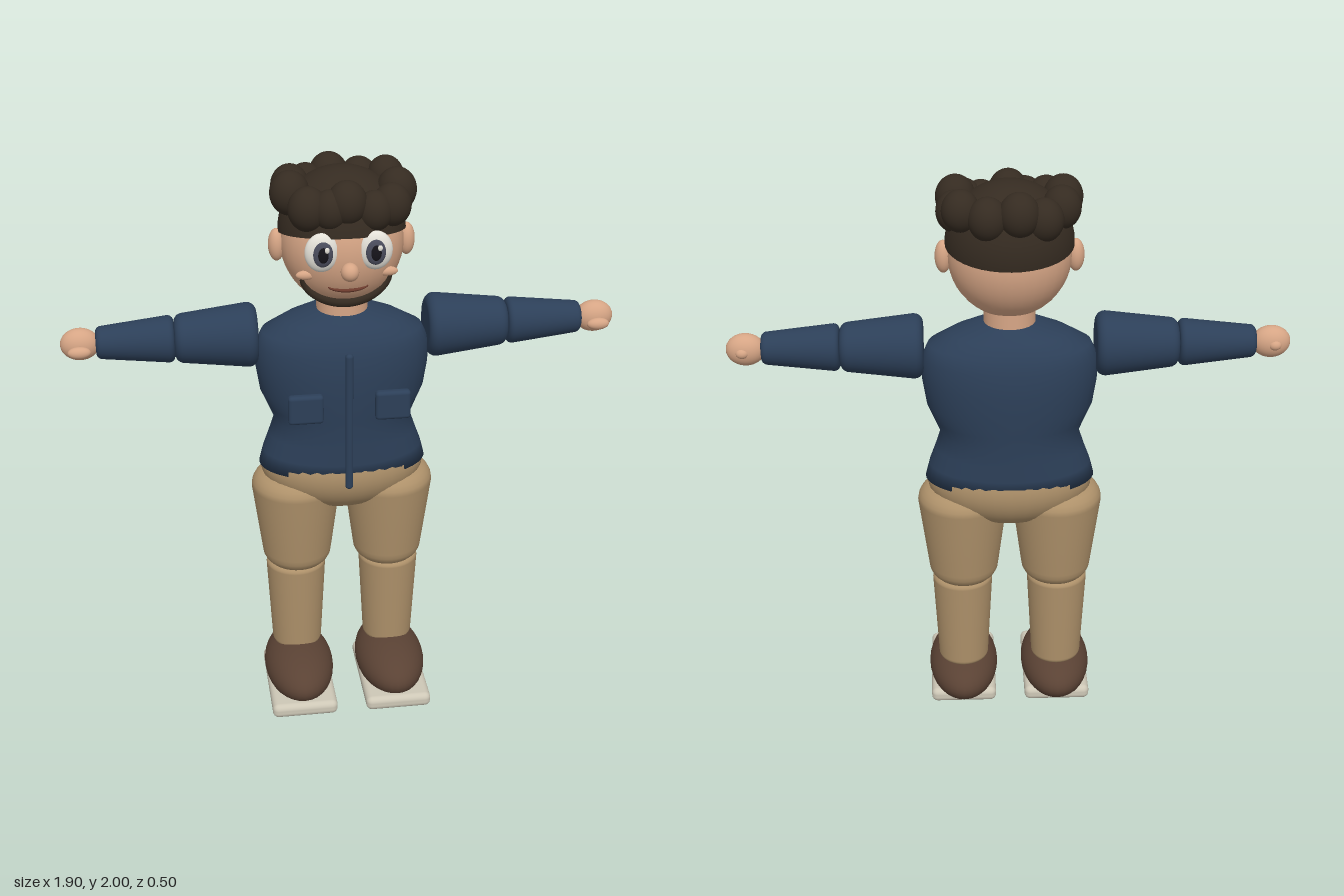
import * as THREE from 'three';
import { mergeVertices } from 'three/addons/utils/BufferGeometryUtils.js';
import { RoundedBoxGeometry } from 'three/addons/geometries/RoundedBoxGeometry.js';

const mat = (name, color, side = THREE.FrontSide) => {
  const m = new THREE.MeshStandardMaterial({ color, side });
  m.name = name;
  return m;
};

export function createModel() {
  const model = new THREE.Group();
  model.name = 'figure';
  const skin = mat('skin', 0xd6a585), blue = mat('jacket blue', 0x2c3f58), tan = mat('trouser tan', 0xae916a);
  const hair = mat('hair brown', 0x352b21, THREE.DoubleSide), brown = mat('shoe brown', 0x5a4234);
  const cream = mat('sole cream', 0xcdc7b6), white = mat('eye white', 0xe4e1d8);
  const grey = mat('iris grey', 0x4a4c5c), black = mat('pupil black', 0x16141a), lip = mat('mouth brown', 0x6b3a2c);
  const Z = -0.045; // depth of the body axis

  const add = (name, geo, m, x = 0, y = 0, z = 0, parent = model) => {
    const mesh = new THREE.Mesh(geo, m);
    mesh.name = name;
    mesh.position.set(x, y, z);
    parent.add(mesh);
    return mesh;
  };
  const blob = (name, m, [x, y, z], [rx, ry, rz], parent = model) =>
    add(name, new THREE.SphereGeometry(1, 32, 24).scale(rx, ry, rz), m, x, y, z, parent);
  const lathe = (pts) => new THREE.LatheGeometry(pts.map(([r, y]) => new THREE.Vector2(r, y)), 40);

  // Rounded limb running up from 0 to len
  const limb = (r0, r1, len, bevel = 0.03) => {
    const pts = [[0, 0]];
    const corner = (r, y, from) => {
      for (let i = 0; i <= 5; i++) {
        const a = from + (i / 5) * Math.PI / 2;
        pts.push([r - bevel + Math.cos(a) * bevel, y + Math.sin(a) * bevel]);
      }
    };
    corner(r0, bevel, -Math.PI / 2);
    corner(r1, len - bevel, 0);
    pts.push([0, len]);
    return lathe(pts);
  };

  // Jacket body lofted from oval sections: height, half width, half depth
  const rings = [[0.925, 0.001, 0.001], [0.925, 0.294, 0.178], [0.98, 0.28, 0.178], [1.04, 0.258, 0.177],
    [1.1, 0.238, 0.177], [1.15, 0.258, 0.18], [1.21, 0.284, 0.184], [1.3, 0.298, 0.186], [1.38, 0.298, 0.178],
    [1.43, 0.275, 0.16], [1.47, 0.2, 0.135], [1.505, 0.1, 0.095], [1.51, 0.001, 0.001]];
  let jacket = lathe(rings.map(([y]) => [1, y]));
  const jp = jacket.attributes.position;
  for (let i = 0; i < jp.count; i++) {
    const [y, rx, rz] = rings[i % rings.length];
    jp.setXYZ(i, jp.getX(i) * rx, y, jp.getZ(i) * rz);
  }
  jacket.deleteAttribute('uv');
  jacket.deleteAttribute('normal');
  jacket = mergeVertices(jacket, 1e-5);
  jacket.computeVertexNormals();
  add('jacket', jacket, blue, 0, 0, Z);
  add('zip', new RoundedBoxGeometry(0.026, 0.51, 0.026, 3, 0.011), blue, 0, 1.155, 0.145);
  blob('hips', tan, [0, 0.92, Z], [0.288, 0.17, 0.182]);
  add('neck', new THREE.CylinderGeometry(0.086, 0.088, 0.12, 32), skin, 0, 1.51, -0.04);

  for (const s of [1, -1]) {
    const side = s > 0 ? 'left' : 'right';
    const name = (part) => side + part;

    // Pocket
    add(name('Pocket'), new RoundedBoxGeometry(0.12, 0.105, 0.034, 3, 0.013), blue, s * 0.148, 1.218, 0.15);

    // Leg and shoe
    const thigh = limb(0.124, 0.158, 0.38, 0.06);
    add(name('Thigh'), thigh, tan, s * 0.165, 0.51, Z);
    add(name('Shin'), limb(0.09, 0.107, 0.36, 0.02), tan, s * 0.17, 0.165, Z);
    blob(name('Shoe'), brown, [s * 0.171, 0.096, 0.015], [0.126, 0.096, 0.222]);
    add(name('Sole'), new RoundedBoxGeometry(0.238, 0.054, 0.395, 4, 0.022), cream, s * 0.172, 0.038, 0.053);

    // Arm, built pointing out sideways
    const upper = add(name('UpperArm'), limb(0.11, 0.085, 0.28, 0.032), blue, s * 0.29, 1.418, Z);
    const fore = add(name('Forearm'), limb(0.08, 0.056, 0.262, 0.02), blue, s * 0.57, 1.418, Z);
    upper.rotation.z = fore.rotation.z = -s * Math.PI / 2;
    blob(name('Hand'), skin, [s * 0.885, 1.416, -0.047], [0.066, 0.056, 0.045]);
    blob(name('Thumb'), skin, [s * 0.887, 1.407, 0.006], [0.039, 0.021, 0.02]);
    blob(name('Knuckle'), skin, [s * 0.893, 1.416, -0.082], [0.022, 0.018, 0.018]);
  }

  // Head
  const head = new THREE.Group();
  head.name = 'head';
  model.add(head);
  const C = [0, 1.745, -0.04], R = [0.206, 0.215, 0.183];
  const faceZ = (x, y) => C[2] + R[2] * Math.sqrt(Math.max(0, 1 - (x / R[0]) ** 2 - ((y - C[1]) / R[1]) ** 2));
  blob('skull', skin, C, R, head);
  blob('nose', skin, [0, 1.705, 0.154], [0.03, 0.031, 0.031], head);
  for (const s of [1, -1]) {
    const side = s > 0 ? 'left' : 'right';
    blob(side + 'Ear', skin, [s * 0.218, 1.737, Z], [0.028, 0.056, 0.031], head);
    blob(side + 'EyeWhite', white, [s * 0.088, 1.766, 0.125], [0.056, 0.066, 0.027], head);
    blob(side + 'Iris', grey, [s * 0.086, 1.766, 0.145], [0.033, 0.043, 0.012], head);
    blob(side + 'Pupil', black, [s * 0.086, 1.766, 0.153], [0.018, 0.027, 0.007], head);
    blob(side + 'EyeGlint', white, [s * 0.086 + 0.012, 1.784, 0.158], [0.008, 0.01, 0.004], head);
    blob(side + 'Cheek', skin, [s * 0.135, 1.675, faceZ(0.135, 1.675)], [0.034, 0.016, 0.014], head);
  }

  // Tapering curved strips that follow the face
  const strip = (name, m, halfWidth, yEnd, yMid, radius) => {
    const pts = [];
    for (let i = 0; i <= 16; i++) {
      const a = Math.PI * i / 16, x = -halfWidth * Math.cos(a), y = yEnd + (yMid - yEnd) * Math.sin(a);
      pts.push(new THREE.Vector3(x, y, faceZ(x, y) + 0.004));
    }
    const curve = new THREE.CatmullRomCurve3(pts), n = 48, geo = new THREE.TubeGeometry(curve, n, radius, 10);
    const p = geo.attributes.position, v = new THREE.Vector3();
    for (let i = 0; i < p.count; i++) {
      const t = Math.floor(i / 11) / n, mid = curve.getPointAt(t);
      v.fromBufferAttribute(p, i).sub(mid).multiplyScalar(0.15 + 0.85 * Math.sin(Math.PI * t) ** 0.6).add(mid);
      p.setXYZ(i, v.x, v.y, v.z);
    }
    geo.computeVertexNormals();
    add(name, geo, m, 0, 0, 0, head);
  };
  strip('beard', hair, 0.148, 1.665, 1.567, 0.019);
  strip('mouth', lip, 0.066, 1.642, 1.626, 0.006);

  // Hair cap, lower at the back, with a ring of curls
  const cap = new THREE.SphereGeometry(1, 40, 20, 0, Math.PI * 2, 0, Math.PI / 2).scale(0.213, 0.212, 0.192);
  add('hairCap', cap, hair, 0, 1.783, Z, head).rotation.x = -0.17;
  const curls = [[0, 1.915, 0.085, 0.066], [0.09, 1.885, 0.085, 0.06], [0.15, 1.895, 0.06, 0.064], [0.175, 1.925, 0.0, 0.066],
    [0.178, 1.9, -0.07, 0.062], [0.16, 1.925, -0.14, 0.062], [0.075, 1.91, -0.18, 0.064], [-0.025, 1.925, -0.188, 0.066],
    [-0.105, 1.9, -0.165, 0.064], [-0.165, 1.92, -0.1, 0.064], [-0.175, 1.925, -0.01, 0.066], [-0.125, 1.895, 0.07, 0.066],
    [-0.055, 1.895, 0.088, 0.06]];
  for (const [x, y, z, r] of curls) blob('curl', hair, [x, y, z], [r, r * 1.12, r], head);
  return model;
}
